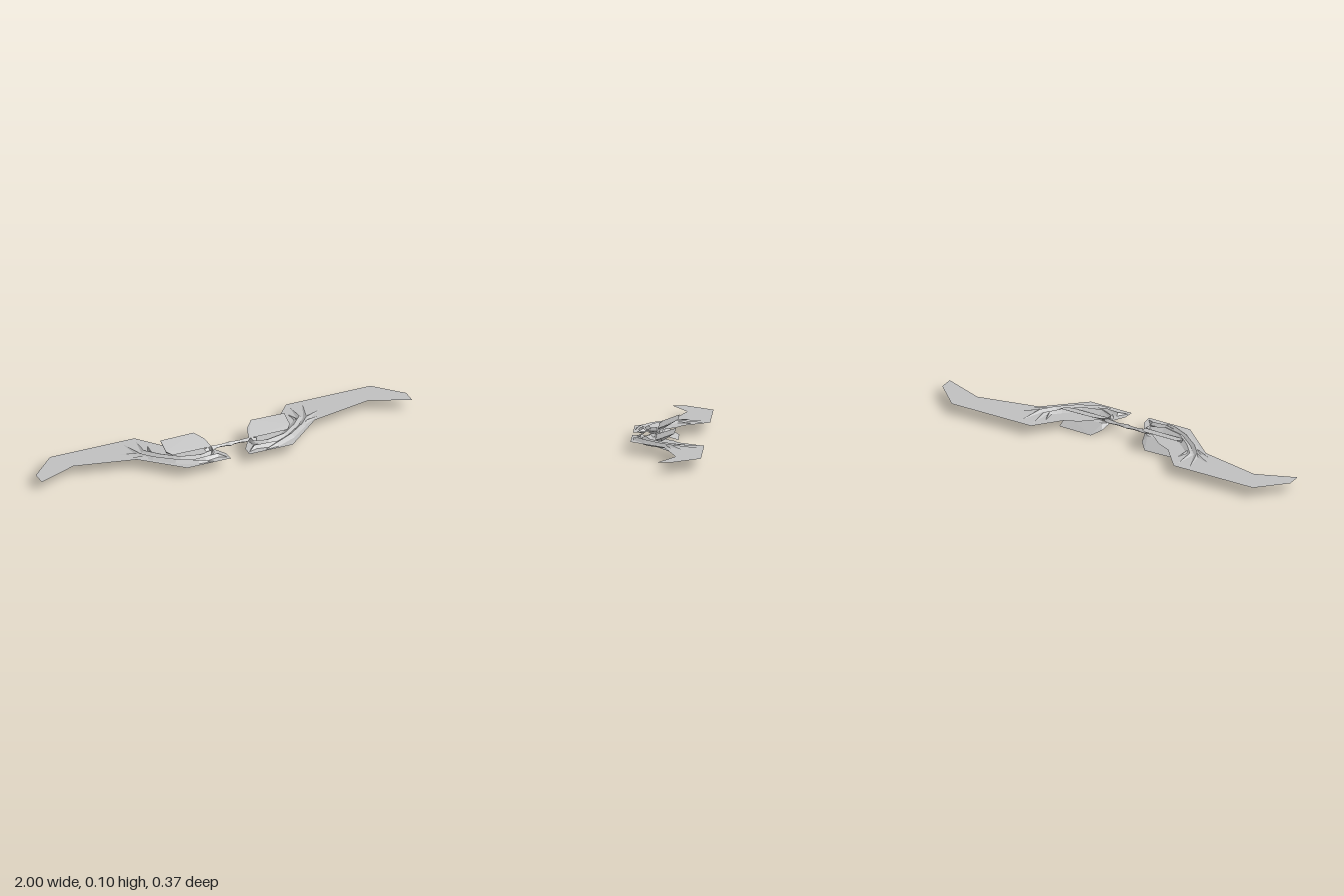
import * as THREE from 'three';
import { ConvexGeometry } from 'three/addons/geometries/ConvexGeometry.js';

const MID = 0.052; // height of the flat centre plane

const steel = new THREE.MeshStandardMaterial({ color: 0xc0c0c0, flatShading: true, side: THREE.DoubleSide });
steel.name = 'steel';

// Diamond-section shard swept through [x, z, halfWidth, halfHeight] stations
function shardGeometry(stations, s) {
  const pos = [], idx = [];
  stations.forEach(([x, z, w, h], i) => {
    const a = stations[Math.max(i - 1, 0)], b = stations[Math.min(i + 1, stations.length - 1)];
    const dx = b[0] - a[0], dz = b[1] - a[1], len = Math.hypot(dx, dz);
    const nx = -dz / len * w, nz = dx / len * w;
    pos.push(s * (x + nx), 0, z + nz, s * x, h, z, s * (x - nx), 0, z - nz, s * x, -h, z);
  });
  for (let i = 0; i < stations.length - 1; i++) {
    for (let k = 0; k < 4; k++) {
      const a = i * 4 + k, b = i * 4 + (k + 1) % 4, c = a + 4, d = b + 4;
      if (s > 0) idx.push(a, c, b, b, c, d);
      else idx.push(a, b, c, b, d, c);
    }
  }
  const g = new THREE.BufferGeometry();
  g.setAttribute('position', new THREE.Float32BufferAttribute(pos, 3));
  g.setIndex(idx);
  const flat = g.toNonIndexed();
  flat.computeVertexNormals();
  return flat;
}

// Flat limb outline, [x, z]
const LIMB = [
  [0.41, -0.19], [0.865, -0.19], [1, -0.055], [1, 0.018], [0.795, -0.062], [0.48, 0.005],
  [0.285, 0.18], [0.05, 0.18], [0.053, 0.125], [0.095, 0.055], [0.16, 0.03], [0.23, -0.03], [0.30, -0.06],
];

// Raised shards lying on the limb
const SHARDS = {
  outerRidge: [[0.14, 0.172, 0, 0], [0.21, 0.15, 0.018, 0.012], [0.31, 0.10, 0.022, 0.014],
    [0.40, 0.03, 0.018, 0.012], [0.45, -0.03, 0.016, 0.010], [0.485, -0.16, 0, 0]],
  innerRidge: [[0.11, 0.085, 0.012, 0.012], [0.18, 0.11, 0.028, 0.016], [0.28, 0.085, 0.026, 0.015],
    [0.36, 0.02, 0.022, 0.012], [0.42, -0.05, 0.015, 0.009], [0.415, -0.16, 0, 0]],
  baseRidge: [[0.06, 0.16, 0, 0], [0.10, 0.13, 0.016, 0.014], [0.17, 0.135, 0.022, 0.015], [0.28, 0.12, 0, 0]],
  sideSpike: [[0.40, 0.02, 0, 0], [0.45, -0.03, 0.018, 0.009], [0.54, -0.08, 0, 0]],
  lowerSpike: [[0.38, 0.05, 0, 0], [0.44, 0.0, 0.014, 0.008], [0.52, -0.03, 0, 0]],
  innerSpike: [[0.37, 0.0, 0, 0], [0.395, -0.035, 0.011, 0.009], [0.38, -0.095, 0, 0]],
  claw: [[0.13, 0.04, 0, 0], [0.105, 0.065, 0.010, 0.019], [0.11, 0.09, 0.009, 0.016], [0.125, 0.12, 0, 0]],
};

// Slanted fin: broad face, then its shorter underside
const FIN = [
  [0.335, 0.050, -0.04], [0.155, 0.052, -0.042], [0.115, 0.033, 0], [0.10, 0.013, 0.058],
  [0.31, 0.013, 0.056], [0.335, 0.024, 0.03], [0.13, 0.010, 0.03], [0.33, 0.012, 0.02],
];

function createLimb(s) {
  const limb = new THREE.Group();
  limb.name = s > 0 ? 'leftLimb' : 'rightLimb';
  const add = (geometry, name) => {
    const mesh = new THREE.Mesh(geometry, steel);
    mesh.name = name;
    limb.add(mesh);
  };

  // Thin blade in the centre plane
  const shape = new THREE.Shape(LIMB.map(([x, z]) => new THREE.Vector2(s * x, -z)));
  add(new THREE.ShapeGeometry(shape).rotateX(-Math.PI / 2), 'blade');

  for (const [name, stations] of Object.entries(SHARDS)) add(shardGeometry(stations, s), name);

  // One fin above the blade and one below
  for (const v of [1, -1]) {
    const points = FIN.map(([x, y, z]) => new THREE.Vector3(s * x, v * y, z));
    add(new ConvexGeometry(points), v > 0 ? 'upperFin' : 'lowerFin');
  }
  return limb;
}

export function createModel() {
  const bow = new THREE.Group();
  bow.name = 'bladedBow';
  const body = new THREE.Group();
  body.name = 'body';
  body.position.y = MID;
  body.add(createLimb(1), createLimb(-1));

  // Slender grip joining the two limbs
  const grip = new THREE.Mesh(shardGeometry([
    [-0.14, 0.06, 0.012, 0.010], [-0.10, 0.048, 0.018, 0.012], [-0.05, 0.046, 0.009, 0.008],
    [-0.02, 0.046, 0.012, 0.010], [0, 0.048, 0.020, 0.013], [0.02, 0.046, 0.012, 0.010],
    [0.05, 0.046, 0.009, 0.008], [0.10, 0.048, 0.018, 0.012], [0.14, 0.06, 0.012, 0.010],
  ], 1), steel);
  grip.name = 'grip';
  body.add(grip);

  bow.add(body);
  return bow;
}
